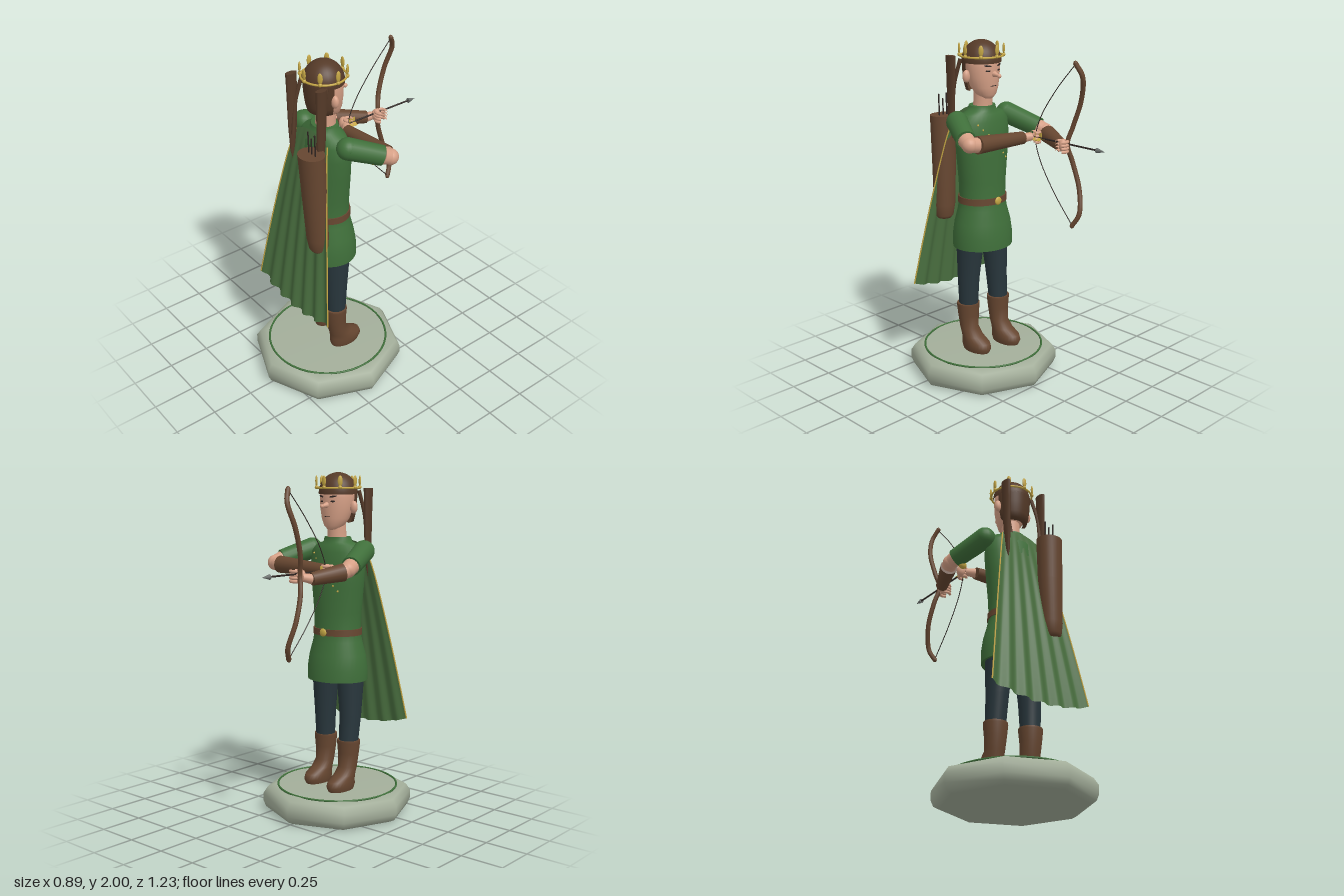
import * as THREE from 'three';

const mat = (name, color, side = THREE.FrontSide) => {
  const m = new THREE.MeshStandardMaterial({ color, side });
  m.name = name;
  return m;
};
const V = (x, y, z) => new THREE.Vector3(x, y, z);

// Horizontal elliptical rings [y, z, rx, rz, x], listed from bottom to top
function loft(rings, n = 28) {
  const pos = [], idx = [];
  rings.forEach(([y, z, rx, rz, x = 0]) => {
    for (let j = 0; j < n; j++) {
      const t = (j / n) * Math.PI * 2;
      pos.push(x + rx * Math.sin(t), y, z + rz * Math.cos(t));
    }
  });
  for (let i = 0; i < rings.length - 1; i++) for (let j = 0; j < n; j++) {
    const a = i * n + j, b = i * n + (j + 1) % n;
    idx.push(a, b, b + n, a, b + n, a + n);
  }
  const g = new THREE.BufferGeometry();
  g.setAttribute('position', new THREE.Float32BufferAttribute(pos, 3));
  g.setIndex(idx);
  g.computeVertexNormals();
  return g;
}

export function createModel() {
  const root = new THREE.Group();
  const green = mat('tunic green', 0x3f6f3a);
  const capeGreen = mat('cape green', 0x4a7040, THREE.DoubleSide);
  const leather = mat('leather brown', 0x664630);
  const hairBrown = mat('hair brown', 0x553a28);
  const skin = mat('skin', 0xd6a086);
  const gold = mat('gold', 0xc4a644);
  const stone = mat('stone', 0xa3ae9a);
  const cloth = mat('dark trousers', 0x28363c);
  const dark = mat('dark lines', 0x2e2522);
  const steel = mat('steel', 0x6c716e);

  const add = (name, geo, m, parent = root) => {
    const mesh = new THREE.Mesh(geo, m);
    mesh.name = name;
    parent.add(mesh);
    return mesh;
  };
  const ball = (name, m, p, r) => {
    const s = add(name, new THREE.SphereGeometry(1, 20, 14), m);
    s.position.set(...p);
    s.scale.set(...r);
    return s;
  };
  const rod = (name, m, a, b, ra, rb = ra, sides = 18) => {
    const A = V(...a), B = V(...b), d = B.clone().sub(A);
    const s = add(name, new THREE.CylinderGeometry(rb, ra, d.length(), sides), m);
    s.position.copy(A).add(B).multiplyScalar(0.5);
    s.quaternion.setFromUnitVectors(V(0, 1, 0), d.normalize());
    return s;
  };
  const tube = (name, m, pts, r, seg = 40) =>
    add(name, new THREE.TubeGeometry(new THREE.CatmullRomCurve3(pts.map(p => V(...p))), seg, r, 8), m);

  // Octagonal stone base with inlaid ring
  const profile = [[0, 0], [0.4, 0], [0.43, 0.015], [0.445, 0.05], [0.445, 0.1], [0.42, 0.138], [0.37, 0.155], [0, 0.155]];
  add('base', new THREE.LatheGeometry(profile.map(p => new THREE.Vector2(...p)), 8), stone).position.z = 0.17;
  const ring = add('baseRing', new THREE.TorusGeometry(0.356, 0.006, 8, 64), green);
  ring.rotation.x = Math.PI / 2;
  ring.position.set(0, 0.155, 0.17);

  // Legs and boots, right foot a little forward
  for (const [x, dz] of [[0.105, 0], [-0.105, -0.04]]) {
    add('leg', loft([[0.4, 0.185 + dz, 0.055, 0.055, x], [0.6, 0.183 + dz / 2, 0.063, 0.066, x], [0.88, 0.175, 0.08, 0.09, x * 0.9]]), cloth);
    add('boot', loft([
      [0.157, 0.12 + dz, 0, 0, x], [0.157, 0.12 + dz, 0.056, 0.095, x], [0.157, 0.12 + dz, 0.056, 0.095, x],
      [0.185, 0.117 + dz, 0.064, 0.106, x], [0.215, 0.122 + dz, 0.062, 0.1, x], [0.245, 0.152 + dz, 0.058, 0.071, x],
      [0.29, 0.18 + dz, 0.056, 0.055, x], [0.37, 0.187 + dz, 0.063, 0.06, x], [0.435, 0.188 + dz, 0.07, 0.066, x],
      [0.447, 0.188 + dz, 0.069, 0.065, x], [0.447, 0.188 + dz, 0.069, 0.065, x], [0.447, 0.188 + dz, 0.05, 0.05, x]]), leather);
  }

  // Tunic, belt and buckle
  add('tunic', loft([
    [0.8, 0.17, 0, 0], [0.8, 0.17, 0.185, 0.163], [0.8, 0.17, 0.185, 0.163], [0.87, 0.17, 0.187, 0.162],
    [0.95, 0.17, 0.176, 0.15], [1.03, 0.17, 0.153, 0.132], [1.09, 0.17, 0.142, 0.124], [1.2, 0.17, 0.15, 0.122],
    [1.35, 0.17, 0.168, 0.122], [1.47, 0.17, 0.182, 0.117], [1.55, 0.17, 0.178, 0.104], [1.59, 0.17, 0.145, 0.088],
    [1.607, 0.17, 0.09, 0.075], [1.635, 0.168, 0.08, 0.07], [1.635, 0.168, 0.08, 0.07], [1.635, 0.168, 0.05, 0.05]], 36), green);
  add('belt', loft([
    [1.068, 0.17, 0.13, 0.11], [1.068, 0.17, 0.152, 0.132], [1.068, 0.17, 0.152, 0.132], [1.106, 0.17, 0.15, 0.131],
    [1.106, 0.17, 0.15, 0.131], [1.106, 0.17, 0.13, 0.11]]), leather);
  ball('buckle', gold, [0, 1.087, 0.038], [0.024, 0.024, 0.01]);
  for (let i = 0; i < 8; i++) {
    const x = 0.11 - i * 0.028, y = 1.54 - i * 0.03;
    ball('chestBead', gold, [x, y, 0.17 - 0.119 * Math.sqrt(1 - (x / 0.18) ** 2) + (y > 1.5 ? 0.01 : 0)], [0.006, 0.006, 0.006]);
  }

  // Cape with folds and gold edging
  const capeAt = (u, v) => V(
    u * (0.135 + 0.195 * Math.pow(v, 0.85)),
    THREE.MathUtils.lerp(1.615 - 0.04 * u * u, 0.505 + 0.055 * u * u, v),
    0.255 + 0.16 * Math.pow(v, 0.8) + 0.013 * v * Math.cos(u * Math.PI * 6) - 0.012 * u * u * v);
  const cape = new THREE.PlaneGeometry(2, 1, 60, 24), cp = cape.attributes.position;
  for (let i = 0; i < cp.count; i++) {
    const p = capeAt(cp.getX(i), 0.5 - cp.getY(i));
    cp.setXYZ(i, p.x, p.y, p.z);
  }
  cape.computeVertexNormals();
  add('cape', cape, capeGreen);
  for (const s of [-1, 1])
    tube('capeTrim', gold, Array.from({ length: 9 }, (_, i) => capeAt(s, i / 8).toArray()), 0.004);

  // Quiver and spare arrows
  add('quiver', loft([
    [0.955, 0.335, 0, 0, 0.152], [0.957, 0.335, 0.04, 0.038, 0.152], [0.975, 0.336, 0.054, 0.052, 0.151], [1.04, 0.338, 0.065, 0.06, 0.147],
    [1.3, 0.346, 0.072, 0.066, 0.138], [1.567, 0.356, 0.079, 0.07, 0.131], [1.567, 0.356, 0.079, 0.07, 0.131], [1.567, 0.356, 0, 0, 0.131]]), leather);
  for (const [x, y] of [[0.105, 1.69], [0.132, 1.66], [0.162, 1.69]])
    rod('spareArrow', dark, [x, 1.5, 0.35], [x, y, 0.355], 0.004, 0.004, 8);

  // Neck, head and face
  add('neck', loft([[1.6, 0.165, 0.06, 0.058], [1.66, 0.16, 0.054, 0.054], [1.76, 0.155, 0.056, 0.056]]), skin);
  add('head', loft([
    [1.672, 0.125, 0, 0], [1.678, 0.125, 0.03, 0.032], [1.7, 0.135, 0.058, 0.057], [1.74, 0.148, 0.08, 0.078], [1.8, 0.158, 0.096, 0.092],
    [1.86, 0.162, 0.101, 0.097], [1.91, 0.165, 0.098, 0.096], [1.96, 0.17, 0.06, 0.06], [1.98, 0.17, 0, 0]]), skin);
  const nose = add('nose', new THREE.ConeGeometry(0.024, 0.075, 14), skin);
  nose.position.set(0, 1.815, 0.052);
  nose.rotation.x = -Math.PI / 2 - 0.15;
  ball('noseTip', skin, [0, 1.811, 0.028], [0.012, 0.012, 0.012]);
  for (const s of [-1, 1]) {
    ball('ear', skin, [s * 0.108, 1.805, 0.18], [0.024, 0.036, 0.02]);
    const eye = ball('eye', dark, [s * 0.04, 1.838, 0.075], [0.015, 0.005, 0.005]);
    eye.rotation.y = s * -0.35;
    const brow = ball('brow', dark, [s * 0.043, 1.866, 0.074], [0.023, 0.005, 0.005]);
    brow.rotation.set(0, s * -0.4, s * 0.15);
  }
  ball('mouth', dark, [0, 1.752, 0.074], [0.024, 0.004, 0.005]);

  // Hair cap, back hair and hanging locks
  const capHair = add('hairCap', new THREE.SphereGeometry(1, 32, 16, 0, Math.PI * 2, 0, Math.PI * 0.52), hairBrown);
  capHair.position.set(0, 1.885, 0.17);
  capHair.scale.set(0.112, 0.117, 0.112);
  const backPts = [[0.066, 1.715], [0.09, 1.722], [0.1, 1.76], [0.108, 1.82], [0.112, 1.89]].map(p => new THREE.Vector2(...p));
  const hairBack = hairBrown.clone();
  hairBack.side = THREE.DoubleSide;
  add('backHair', new THREE.LatheGeometry(backPts, 24, -1.45, 2.9), hairBack).position.z = 0.17;
  for (const s of [-1, 1]) {
    const lock = add('hairLock', loft([
      [1.4, 0.295, 0, 0, s * 0.125], [1.45, 0.294, 0.008, 0.014, s * 0.126], [1.6, 0.288, 0.014, 0.028, s * 0.128],
      [1.8, 0.284, 0.016, 0.034, s * 0.13], [1.912, 0.284, 0.019, 0.036, s * 0.131], [1.912, 0.284, 0.019, 0.036, s * 0.131], [1.912, 0.284, 0, 0, s * 0.131]], 10), hairBrown);
    lock.scale.y = 1;
    tube('thinLock', hairBrown, [[s * 0.105, 1.9, 0.23], [s * 0.118, 1.75, 0.27], [s * 0.108, 1.56, 0.3]], 0.011, 16);
  }

  // Crown with eight leaf points
  const band = add('crownBand', new THREE.TorusGeometry(0.121, 0.006, 8, 48), gold);
  band.rotation.x = Math.PI / 2;
  band.position.set(0, 1.913, 0.17);
  for (let i = 0; i < 8; i++) {
    const a = (i / 8) * Math.PI * 2, x = Math.sin(a), z = Math.cos(a);
    const leaf = ball('crownLeaf', gold, [x * 0.125, 1.952, 0.17 + z * 0.125], [0.014, 0.031, 0.007]);
    leaf.rotation.y = a;
    ball('crownBead', gold, [x * 0.124, 1.917, 0.17 + z * 0.124], [0.011, 0.011, 0.011]);
  }

  // Arms: sleeve, elbow, bracer, wrist
  const arm = (shoulder, cuff, elbow, b0, b1, wrist) => {
    ball('shoulder', green, shoulder, [0.062, 0.062, 0.062]);
    rod('sleeve', green, shoulder, cuff, 0.062, 0.056);
    rod('upperArm', skin, cuff, elbow, 0.047, 0.043);
    ball('elbow', skin, elbow, [0.045, 0.045, 0.045]);
    rod('forearm', skin, elbow, b0, 0.043, 0.042);
    rod('bracer', leather, b0, b1, 0.05, 0.036);
    rod('wrist', skin, b1, wrist, 0.028, 0.022);
    const tip = ball('sleeveTip', gold, [Math.sign(cuff[0]) * 0.23, 1.452, cuff[2] + 0.02], [0.03, 0.026, 0.02]);
    tip.rotation.z = Math.sign(cuff[0]) * 0.6;
  };
  arm([-0.195, 1.56, 0.165], [-0.262, 1.49, -0.03], [-0.272, 1.475, -0.07], [-0.262, 1.462, -0.1], [-0.19, 1.435, -0.275], [-0.165, 1.445, -0.32]);
  arm([0.195, 1.56, 0.165], [0.283, 1.5, 0.0], [0.297, 1.482, -0.045], [0.25, 1.475, -0.055], [-0.095, 1.46, -0.06], [-0.145, 1.465, -0.09]);

  // Hands with curled fingers
  const hand = (name, x, y, z, r) => {
    ball(name, skin, [x - 0.012, y, z + 0.015], [0.026, 0.036, 0.026]);
    for (let i = 0; i < 4; i++) {
      const f = add('finger', new THREE.TorusGeometry(r, 0.009, 8, 18, Math.PI * 1.6), skin);
      f.position.set(x + 0.012, y - 0.028 + i * 0.018, z);
      f.rotation.set(Math.PI / 2, 0, 0.6);
    }
  };
  hand('bowHand', -0.14, 1.452, -0.332, 0.03);
  hand('drawHand', -0.165, 1.465, -0.112, 0.022);

  // Bow, string and nocked arrow
  const half = [[-0.14, 0.455, -0.405], [-0.163, 0.385, -0.437], [-0.193, 0.25, -0.407], [-0.185, 0.1, -0.36], [-0.163, 0, -0.34]];
  const at = s => ([x, y, z]) => [x, 1.46 + s * y, z];
  const limb = [...half.map(at(1)), ...half.slice(0, 4).reverse().map(at(-1))];
  tube('bow', leather, limb, 0.014, 64);
  for (const s of [1, -1]) ball('bowTip', leather, at(s)(half[0]), [0.012, 0.014, 0.012]);
  const str = [[-0.14, 0.45, -0.405], [-0.143, 0.29, -0.265], [-0.147, 0.12, -0.15]];
  tube('bowString', dark, [...str.map(at(1)), [-0.15, 1.46, -0.112], ...str.reverse().map(at(-1))], 0.0025, 48);
  rod('arrowShaft', dark, [-0.15, 1.465, -0.105], [-0.15, 1.465, -0.58], 0.005, 0.005, 8);
  rod('arrowHead', steel, [-0.15, 1.465, -0.56], [-0.15, 1.465, -0.615], 0.015, 0, 8);
  for (let i = 0; i < 3; i++) {
    const f = add('fletching', new THREE.BoxGeometry(0.003, 0.026, 0.05), gold);
    const a = (i / 3) * Math.PI * 2;
    f.position.set(-0.15 - Math.sin(a) * 0.015, 1.465 + Math.cos(a) * 0.015, -0.135);
    f.rotation.z = a;
  }
  return root;
}
